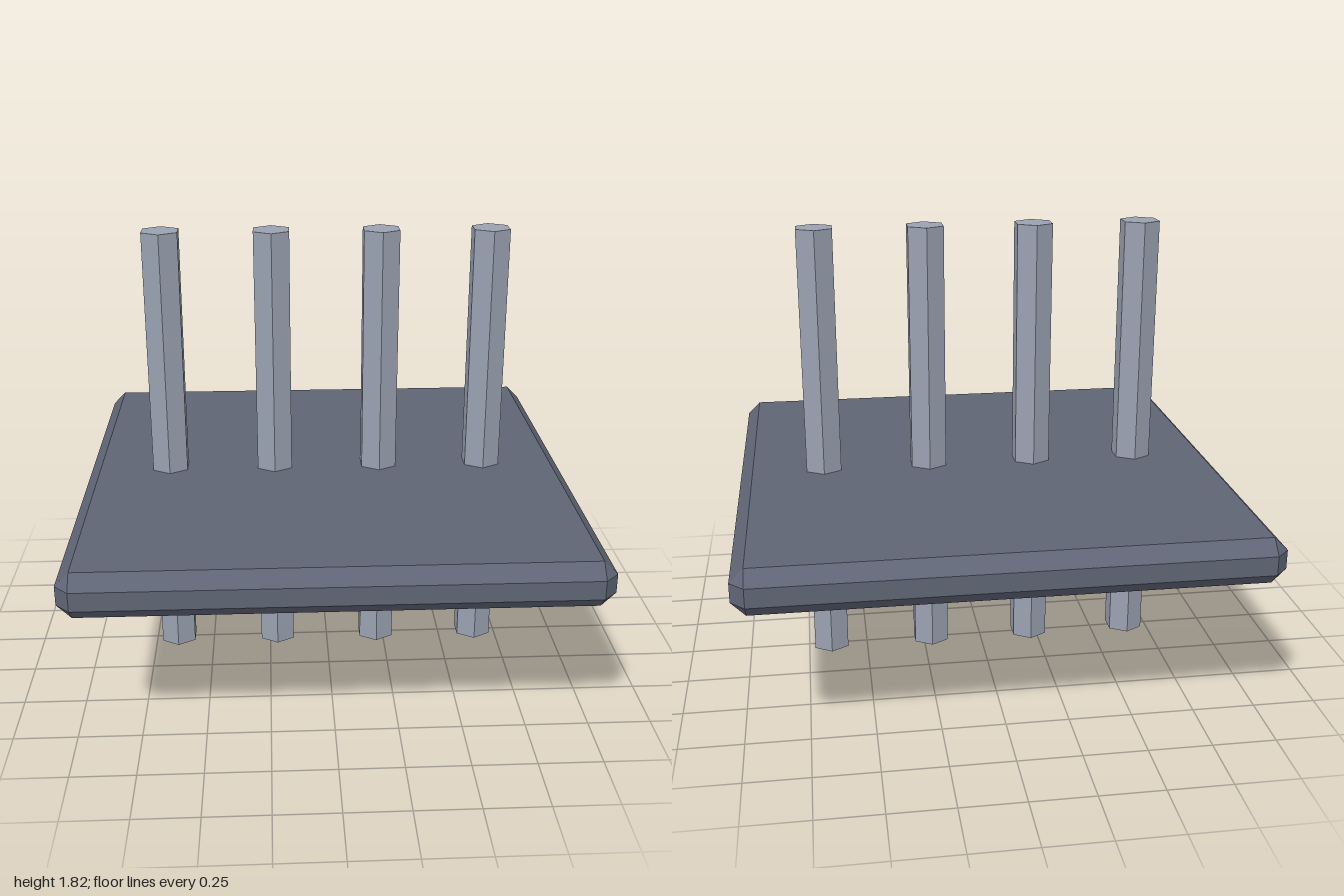
import * as THREE from 'three';
import { ConvexGeometry } from 'three/addons/geometries/ConvexGeometry.js';

// Box with every edge cut by a flat chamfer and a triangle at each corner
function chamferedBox(hx, hy, hz, c) {
  const points = [];
  for (const sx of [-1, 1]) for (const sy of [-1, 1]) for (const sz of [-1, 1]) {
    points.push(
      new THREE.Vector3(sx * hx, sy * (hy - c), sz * (hz - c)),
      new THREE.Vector3(sx * (hx - c), sy * hy, sz * (hz - c)),
      new THREE.Vector3(sx * (hx - c), sy * (hy - c), sz * hz)
    );
  }
  return new ConvexGeometry(points);
}

export function createModel() {
  const model = new THREE.Group();
  model.name = 'pinHeader';

  const boardMaterial = new THREE.MeshStandardMaterial({ color: 0x5f6575, flatShading: true });
  const pinMaterial = new THREE.MeshStandardMaterial({ color: 0x9aa2b1, flatShading: true });

  // Square plate with chamfered edges
  const plate = new THREE.Mesh(chamferedBox(1, 0.09, 1, 0.053), boardMaterial);
  plate.name = 'plate';
  plate.position.y = 0.73;
  model.add(plate);

  // Row of four hexagonal pins passing through the plate
  const pinHeight = 1.82;
  const pinGeometry = new THREE.CylinderGeometry(0.082, 0.082, pinHeight, 6);
  const spacing = 0.436;
  for (let i = 0; i < 4; i++) {
    const pin = new THREE.Mesh(pinGeometry, pinMaterial);
    pin.name = `pin${i + 1}`;
    pin.position.set((i - 1.5) * spacing, pinHeight / 2, 0);
    model.add(pin);
  }

  return model;
}
